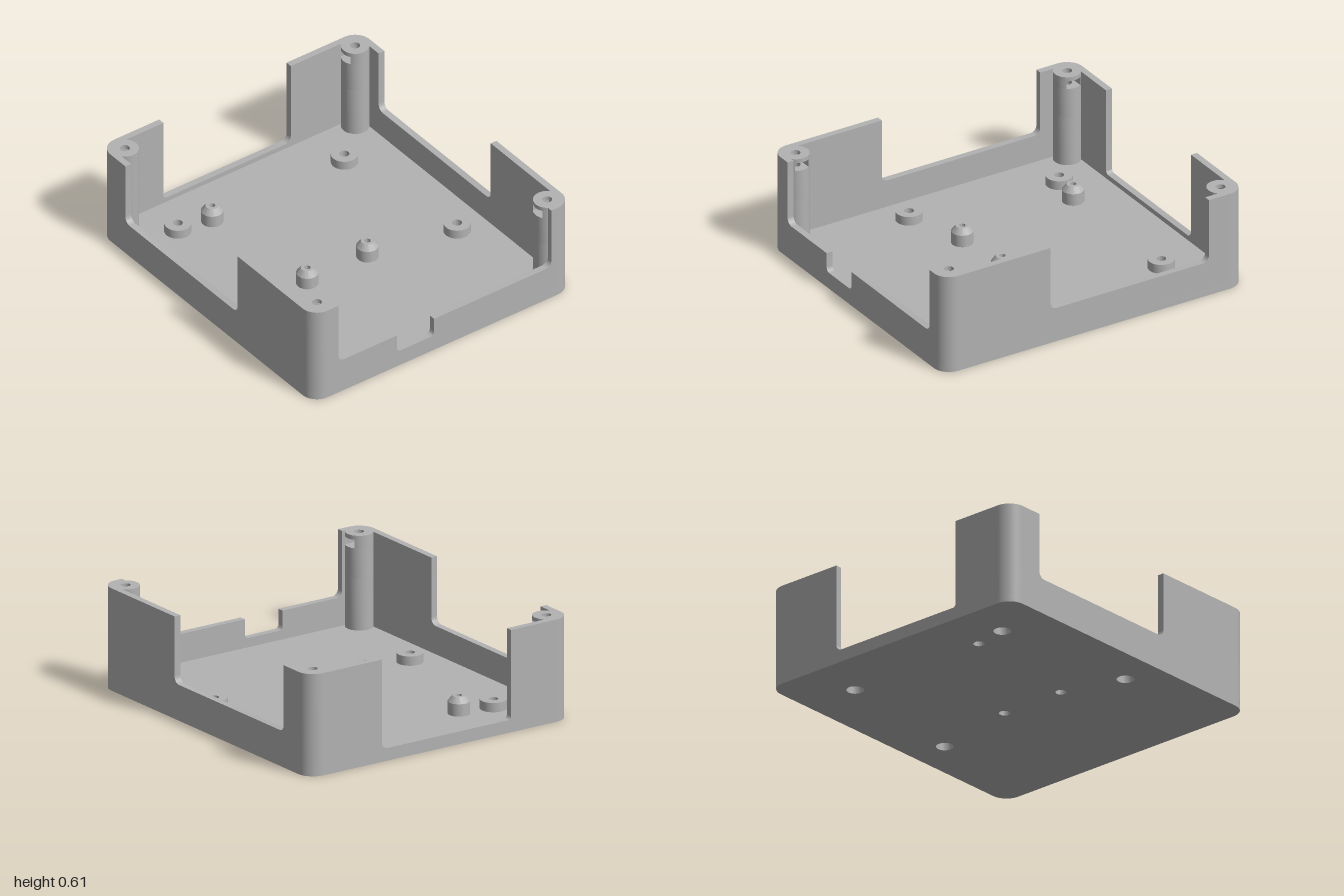
import * as THREE from 'three';
import { toCreasedNormals } from 'three/addons/utils/BufferGeometryUtils.js';

const W = 1, D = 0.905, H = 0.605;      // half width, half depth, height
const R = 0.1, T = 0.04, FLOOR = 0.045; // corner radius, wall and floor thickness
const CX = W - R, CZ = D - R;           // corner centres

// Closed outline from [x, y, radius] points
function outline(pts) {
  const s = new THREE.Shape();
  const n = pts.length;
  pts.forEach((p, i) => {
    const v = new THREE.Vector2(p[0], p[1]);
    const r = p[2] || 0;
    const toward = (q, d) => new THREE.Vector2(q[0], q[1]).sub(v).normalize().multiplyScalar(d).add(v);
    const prev = pts[(i + n - 1) % n], next = pts[(i + 1) % n];
    const a = r ? toward(prev, r) : v, b = r ? toward(next, r) : v;
    if (i === 0) s.moveTo(a.x, a.y); else s.lineTo(a.x, a.y);
    if (r) {
      const c = toward(prev, r * 0.448), d = toward(next, r * 0.448);
      s.bezierCurveTo(c.x, c.y, d.x, d.y, b.x, b.y);
    }
  });
  s.closePath();
  return s;
}

function circle(x, y, r, Type = THREE.Shape) {
  const c = new Type();
  c.absarc(x, y, r, 0, Math.PI * 2, false);
  return c;
}

const extrude = (shape, depth) => toCreasedNormals(
  new THREE.ExtrudeGeometry(shape, { depth, bevelEnabled: false, curveSegments: 16 }), 0.6);

// Horizontal slab between two heights; shape y is -z
const slab = (shape, y0, y1) => extrude(shape, y1 - y0).rotateX(-Math.PI / 2).translate(0, y0, 0);

// Wall panel with a cut-out open at the top, and an optional deeper step in it
function wallShape(half, [a, b, y], step) {
  const r = 0.04;
  const inner = step
    ? [[step[1], y], [step[1], step[2], 0.025], [step[0], step[2], 0.025], [step[0], y]]
    : [];
  return outline([[-half, FLOOR], [half, FLOOR], [half, H], [b, H],
    [b, y, y - FLOOR < r ? 0.02 : r], ...inner, [a, y, r], [a, H], [-half, H]]);
}

export function createModel() {
  const group = new THREE.Group();
  group.name = 'openEnclosure';
  const grey = new THREE.MeshStandardMaterial({ color: 0xb2b2b2 });
  grey.name = 'grey plastic';
  const add = (name, geo, parent = group) => {
    const m = new THREE.Mesh(geo, grey);
    m.name = name;
    parent.add(m);
    return m;
  };

  const discs = [[-0.665, -0.555], [0.23, -0.675], [-0.705, 0.58], [0.23, 0.675]];
  const cones = [[0.12, -0.13], [0.12, 0.29], [-0.665, 0.37]];

  // Floor with the wider screw recesses
  const floor = outline([[-W, -D, R], [W, -D, R], [W, D, R], [-W, D, R]]);
  discs.forEach(([x, z]) => floor.holes.push(circle(x, -z, 0.05, THREE.Path)));
  cones.forEach(([x, z]) => floor.holes.push(circle(x, -z, 0.032, THREE.Path)));
  add('floor', slab(floor, 0, FLOOR));

  // Front and back walls share one cut-out
  const longWall = wallShape(CX, [-0.76, 0.29, 0.212]);
  add('frontWall', extrude(longWall, T).translate(0, 0, D - T));
  add('backWall', extrude(longWall, T).translate(0, 0, -D));

  // Side walls
  const side = (shape, x) => extrude(shape, T).rotateY(-Math.PI / 2).translate(x, 0, 0);
  add('leftWall', side(wallShape(CZ, [-0.76, 0.73, 0.215], [0.06, 0.32, 0.1]), W));
  add('rightWall', side(wallShape(CZ, [-0.4, 0.49, 0.075]), -W + T));

  // Rounded corners, each with a screw post and a nut slot facing along z
  const slot = 0.046, postR = 0.08, holeR = 0.028, slotAngle = Math.asin(slot / postR);
  [[1, 1], [-1, 1], [-1, -1], [1, -1]].forEach(([sx, sy], i) => {
    const corner = new THREE.Group();
    corner.name = 'corner';
    group.add(corner);
    const x = sx * CX, y = sy * CZ, a = i * Math.PI / 2;

    const shell = new THREE.Shape();
    shell.absarc(x, y, R, a, a + Math.PI / 2, false);
    shell.absarc(x, y, R - T, a + Math.PI / 2, a, true);
    shell.closePath();
    add('cornerWall', slab(shell, FLOOR, H), corner);

    const ring = circle(x, y, postR);
    ring.holes.push(circle(x, y, holeR, THREE.Path));
    const dir = -sy, mid = dir * Math.PI / 2;
    const slotted = new THREE.Shape();
    slotted.absarc(x, y, postR, mid + slotAngle, mid - slotAngle + Math.PI * 2, false);
    slotted.lineTo(x + dir * slot, y - dir * slot);
    slotted.lineTo(x - dir * slot, y - dir * slot);
    slotted.closePath();

    add('postBase', slab(circle(x, y, postR), FLOOR, 0.35), corner);
    add('postBore', slab(ring, 0.35, 0.53), corner);
    add('postNutSlot', slab(slotted, 0.53, 0.58), corner);
    add('postCap', slab(ring, 0.58, H), corner);
  });

  // Standoffs on the floor, turned from closed profiles
  const turned = (pts) => toCreasedNormals(
    new THREE.LatheGeometry(pts.map(([r, y]) => new THREE.Vector2(r, y)), 40), 0.5);
  const discGeo = turned([[0.028, FLOOR], [0.077, FLOOR], [0.077, 0.1], [0.028, 0.1], [0.028, FLOOR]]);
  const coneGeo = turned([[0.018, FLOOR], [0.063, FLOOR], [0.063, 0.118], [0.037, 0.152],
    [0.018, 0.152], [0.018, FLOOR]]);
  discs.forEach(([x, z]) => add('flatStandoff', discGeo).position.set(x, 0, z));
  cones.forEach(([x, z]) => add('taperedStandoff', coneGeo).position.set(x, 0, z));

  return group;
}
